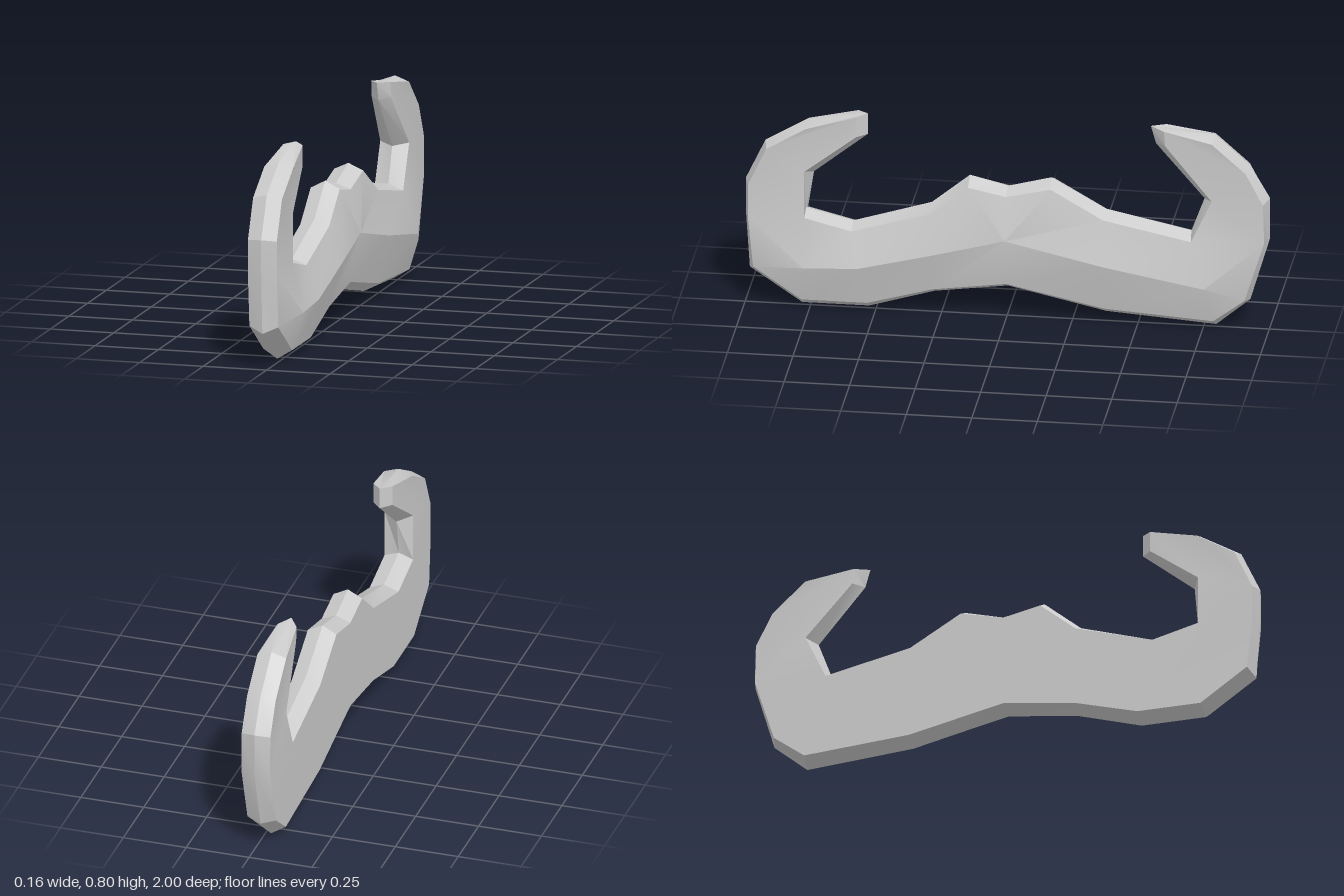
import * as THREE from 'three';
import { toCreasedNormals } from 'three/addons/utils/BufferGeometryUtils.js';

// Outline corners: ridge z, y, then bevelled face z, y (counter-clockwise seen from +x)
const OUTLINE = [
  [1, 0.5, 0.985, 0.495], [1, 0.365, 0.985, 0.365], [0.985, 0.135, 0.965, 0.16],
  [0.785, 0, 0.78, 0.035], [0.53, 0, 0.53, 0.035], [0.28, 0.075, 0.28, 0.105],
  [0, 0.113, 0, 0.143], [-0.375, 0.03, -0.375, 0.063], [-0.795, 0, -0.79, 0.035],
  [-0.925, 0.11, -0.91, 0.125], [-1, 0.365, -0.985, 0.365], [-1, 0.53, -0.98, 0.52],
  [-0.925, 0.66, -0.915, 0.645], [-0.79, 0.78, -0.785, 0.76], [-0.545, 0.8, -0.6, 0.795],
  [-0.565, 0.73, -0.605, 0.735], [-0.75, 0.515, -0.785, 0.525], [-0.7, 0.38, -0.705, 0.355],
  [-0.375, 0.45, -0.37, 0.425], [-0.165, 0.567, -0.17, 0.54], [0, 0.523, 0, 0.5],
  [0.145, 0.56, 0.145, 0.53], [0.29, 0.44, 0.285, 0.415], [0.59, 0.347, 0.59, 0.325],
  [0.77, 0.39, 0.77, 0.37], [0.74, 0.54, 0.77, 0.56], [0.535, 0.705, 0.575, 0.705],
  [0.535, 0.79, 0.575, 0.785], [0.765, 0.755, 0.765, 0.735], [0.925, 0.66, 0.915, 0.645],
];
const TIPS = [14, 15, 26, 27];
const MID_X = -0.021;

// Raised line along the middle of the body: z, y
const SPINE = [[0.77, 0.18], [0.56, 0.19], [0.28, 0.26], [0, 0.335], [-0.375, 0.25], [-0.76, 0.18]]
  .map(([z, y]) => new THREE.Vector3(0.077, y, z));

// Body cross-sections: lower corner, spine point, upper corner
const SECTIONS = [
  [1, 0, 1], [2, 0, 1], [3, 0, 24], [4, 1, 23], [5, 2, 22], [6, 3, 21], [6, 3, 20],
  [6, 3, 19], [7, 4, 18], [8, 5, 17], [9, 5, 10], [10, 5, 10],
];

const ridge = OUTLINE.map(([z, y]) => new THREE.Vector3(MID_X, y, z));
// The hook tips are thinner than the rest
const face = (side) => OUTLINE.map(([, , z, y], i) =>
  new THREE.Vector3(MID_X + side * (TIPS.includes(i) ? 0.038 : 0.057), y, z));

function buildMesh(name, triangles) {
  const geometry = new THREE.BufferGeometry().setFromPoints(triangles);
  geometry.computeVertexNormals();
  const mesh = new THREE.Mesh(toCreasedNormals(geometry, 0.4),
    new THREE.MeshStandardMaterial({ color: 0xcccccc }));
  mesh.name = name;
  return mesh;
}

export function createModel() {
  const triangles = [];
  const tri = (a, b, c) => {
    if (a !== b && b !== c && c !== a) triangles.push(a, b, c);
  };
  const quad = (a, b, c, d) => { tri(a, b, c); tri(a, c, d); };
  const polygon = (points, flip) => {
    const flat = points.map((p) => new THREE.Vector2(-p.z, p.y));
    for (const [a, b, c] of THREE.ShapeUtils.triangulateShape(flat, [])) {
      if (flip) tri(points[a], points[c], points[b]);
      else tri(points[a], points[b], points[c]);
    }
  };
  const outer = face(1);
  const back = face(-1);

  // Bevels on both sides of the ridge
  ridge.forEach((p, i) => {
    const j = (i + 1) % ridge.length;
    quad(p, ridge[j], outer[j], outer[i]);
    quad(ridge[j], p, back[i], back[j]);
  });

  // Flat back, and the flat faces of the two curled hooks
  polygon(back, true);
  polygon([24, 25, 26, 27, 28, 29, 0, 1].map((i) => outer[i]), false);
  polygon(outer.slice(10, 18), false);

  // Softly raised body between the hooks
  for (let i = 0; i < SECTIONS.length - 1; i++) {
    const [l0, s0, u0] = SECTIONS[i];
    const [l1, s1, u1] = SECTIONS[i + 1];
    quad(outer[l0], outer[l1], SPINE[s1], SPINE[s0]);
    quad(SPINE[s0], SPINE[s1], outer[u1], outer[u0]);
  }

  const group = new THREE.Group();
  group.name = 'curledMoustache';
  group.add(buildMesh('moustache', triangles));
  return group;
}
